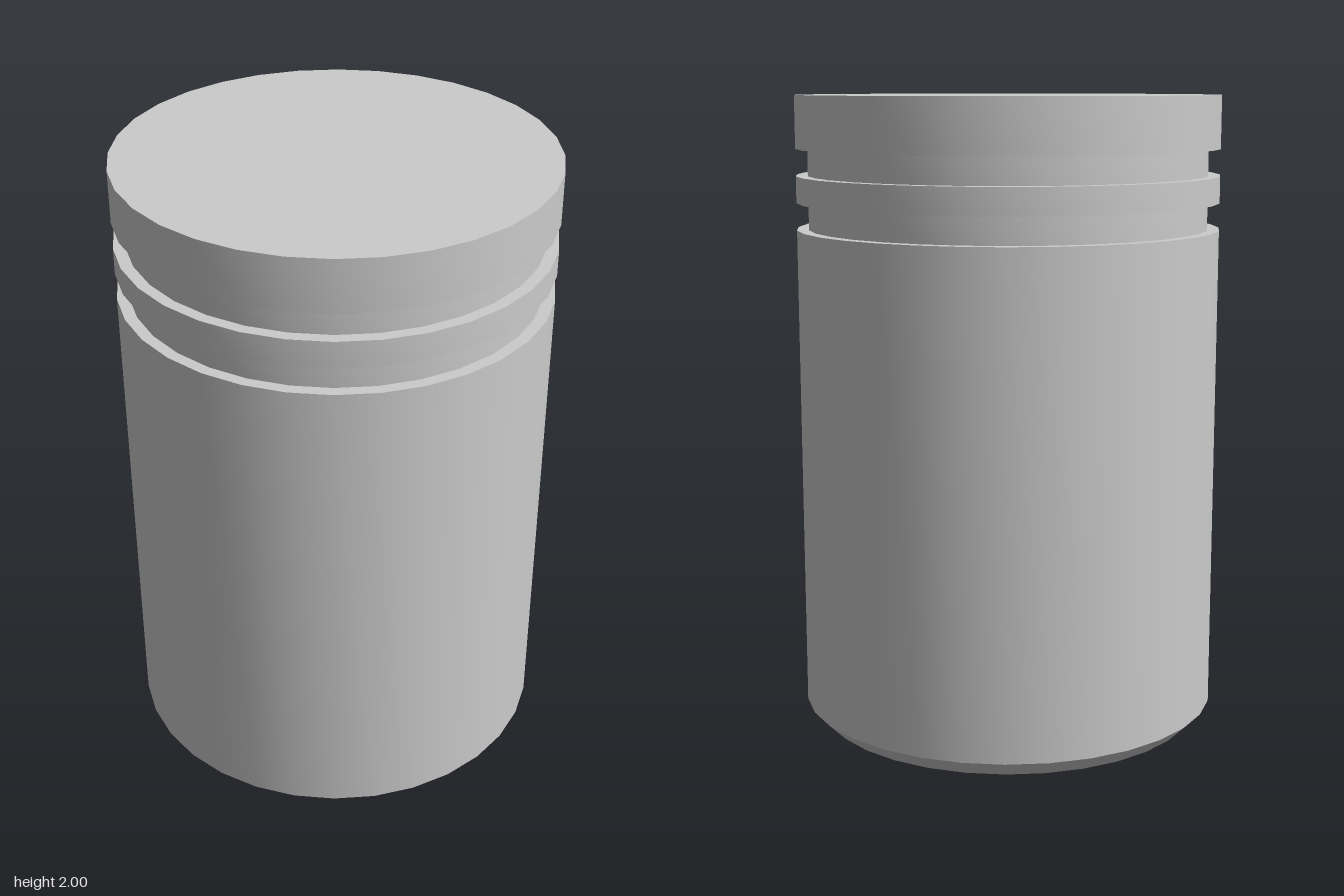
import * as THREE from 'three';
import { toCreasedNormals } from 'three/addons/utils/BufferGeometryUtils.js';

const SEGMENTS = 32;
const R = 0.667;        // outer radius
const GROOVE_R = 0.63;  // floor of the ring grooves
const BORE_R = 0.537;   // hollow inside
const BORE_TOP = 1.58;  // ceiling of the hollow

const material = new THREE.MeshStandardMaterial({ color: 0xcccccc });

// Revolves a [radius, height] profile, keeping its corners sharp
function turned(name, profile) {
  const points = profile.map(([r, y]) => new THREE.Vector2(r, y));
  const geometry = toCreasedNormals(new THREE.LatheGeometry(points, SEGMENTS), Math.PI / 6);
  const mesh = new THREE.Mesh(geometry, material);
  mesh.name = name;
  return mesh;
}

export function createModel() {
  const piston = new THREE.Group();
  piston.name = 'piston';

  // Hollow underside: closed ceiling and straight inner wall
  piston.add(turned('bore', [[0, BORE_TOP], [BORE_R, BORE_TOP], [BORE_R, 0]]));

  // Skirt: bottom rim, chamfer, long outer wall and upper shoulder
  piston.add(turned('skirt', [
    [BORE_R, 0], [0.613, 0], [R, 0.054], [R, 1.586], [GROOVE_R, 1.586],
  ]));

  // Two ring grooves with the raised land between them
  piston.add(turned('lowerGroove', [[GROOVE_R, 1.586], [GROOVE_R, 1.67]]));
  piston.add(turned('ringLand', [
    [GROOVE_R, 1.67], [R, 1.67], [R, 1.753], [GROOVE_R, 1.753],
  ]));
  piston.add(turned('upperGroove', [[GROOVE_R, 1.753], [GROOVE_R, 1.836]]));

  // Crown with a flat top
  piston.add(turned('crown', [[GROOVE_R, 1.836], [R, 1.836], [R, 2], [0, 2]]));

  return piston;
}
